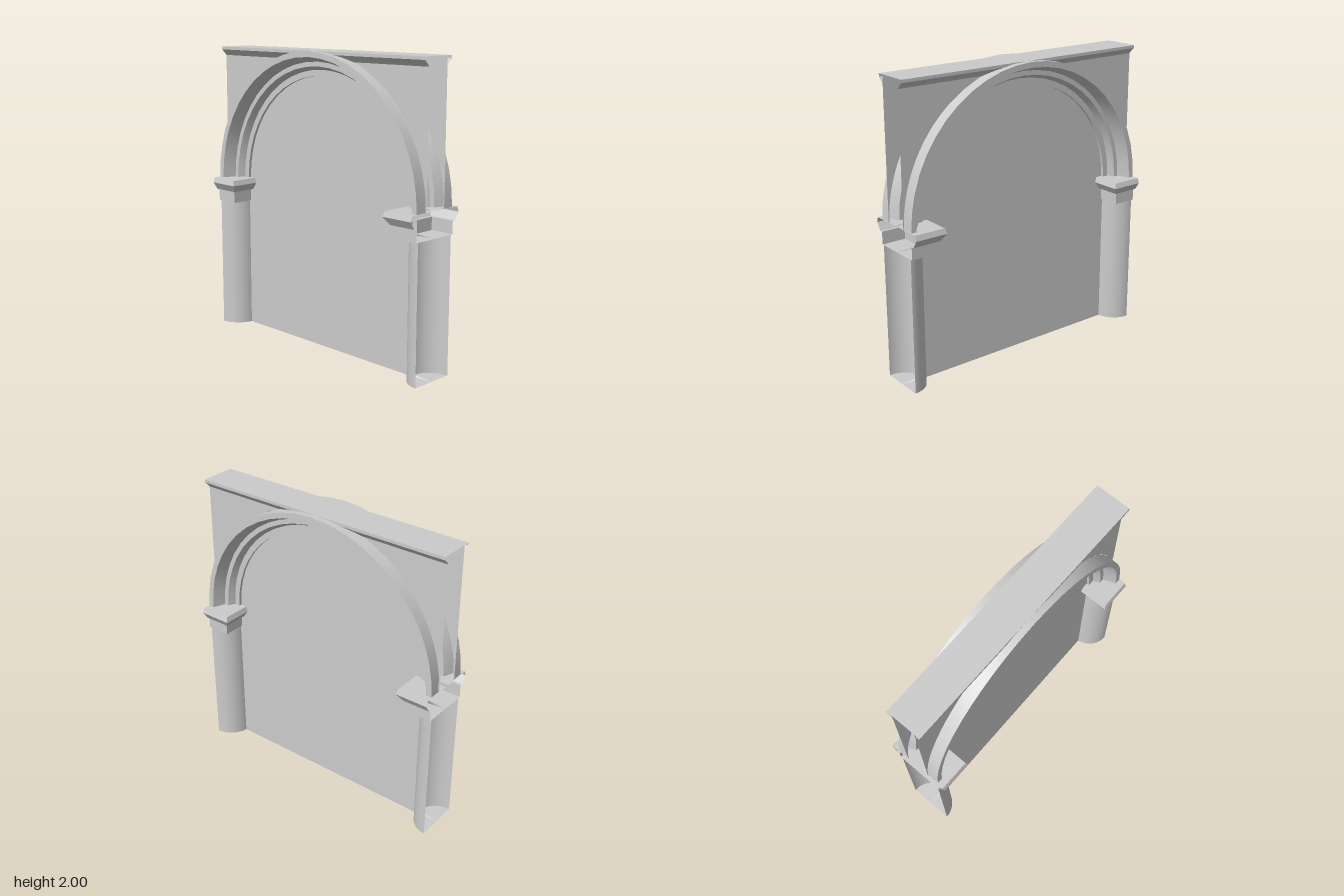
import * as THREE from 'three';
import { toCreasedNormals } from 'three/addons/utils/BufferGeometryUtils.js';

const END = 0.925;      // half length along z
const SPRING = 1.08;    // height where the arch starts
const PANEL_X = 0.016;  // recessed panel plane
const WALL_X = 0.083;   // spandrel plane
const R_OUT = 0.92, R_IN = 0.757;

const material = new THREE.MeshStandardMaterial({ color: 0xcccccc, side: THREE.DoubleSide });

function part(name, geometry, parent) {
  const mesh = new THREE.Mesh(geometry, material);
  mesh.name = name;
  parent.add(mesh);
  return mesh;
}

// Flat-faced skin between open sections, each a list of [x, y, z]
function loft(sections) {
  const positions = [];
  for (let i = 0; i < sections.length - 1; i++) {
    const a = sections[i], b = sections[i + 1];
    for (let j = 0; j < a.length - 1; j++) {
      positions.push(...a[j], ...b[j], ...b[j + 1], ...a[j], ...b[j + 1], ...a[j + 1]);
    }
  }
  const geometry = new THREE.BufferGeometry();
  geometry.setAttribute('position', new THREE.Float32BufferAttribute(positions, 3));
  geometry.computeVertexNormals();
  return geometry;
}

// Flat sheet facing +x at a given depth
function sheet(shape, x) {
  return new THREE.ShapeGeometry(shape, 24).rotateY(Math.PI / 2).translate(x, 0, 0);
}

// Stepped arch moulding: profile of (radius, x) swept through a half turn
function archGeometry() {
  const profile = [
    [R_IN, PANEL_X], [R_IN, 0.035], [0.797, 0.035], [0.82, 0.08],
    [0.851, 0.08], [0.883, 0.165], [R_OUT, 0.165], [R_OUT, WALL_X],
  ].map(([r, x]) => new THREE.Vector2(r, x));
  const geometry = new THREE.LatheGeometry(profile, 24, Math.PI, Math.PI);
  geometry.rotateZ(-Math.PI / 2).translate(0, SPRING, 0);
  return toCreasedNormals(geometry, 0.5);
}

// Recessed panel: rectangle with a round head
function panelShape() {
  const s = new THREE.Shape();
  s.moveTo(-0.772, 0);
  s.lineTo(0.772, 0);
  s.lineTo(0.772, SPRING);
  s.lineTo(R_IN, SPRING);
  s.absarc(0, SPRING, R_IN, 0, Math.PI, false);
  s.lineTo(-0.772, SPRING);
  return s;
}

// Corner of wall left over outside the arch
function spandrelShape(side) {
  const s = new THREE.Shape();
  s.moveTo(side * END, SPRING);
  s.lineTo(side * END, 2);
  s.lineTo(0, 2);
  s.absarc(0, SPRING, R_OUT, Math.PI / 2, side > 0 ? 0 : Math.PI, side > 0);
  return s;
}

// Quarter column shaft, open at the cut end
function shaftGeometry() {
  const r = 0.154, start = Math.PI / 2;
  const sweep = Math.PI / 2 - Math.asin(PANEL_X / r);
  return new THREE.CylinderGeometry(r, r, 0.91, 12, 1, false, start, sweep)
    .translate(0, 0.455, END);
}

// Neck block and flared capital: levels of [y, outer x, inner z]
function capitalGeometry() {
  const levels = [
    [0.91, PANEL_X, END], [0.91, 0.17, 0.76], [0.995, 0.17, 0.76],
    [0.995, 0.19, 0.735], [1.045, 0.223, 0.7], [SPRING, 0.212, 0.712],
    [SPRING, PANEL_X, END],
  ];
  return loft(levels.map(([y, x, z]) => [[PANEL_X, y, z], [x, y, z], [x, y, END]]));
}

// Top slab and moulding, open at both ends
function corniceGeometry() {
  const profile = [[0, 2], [0.122, 2], [0.122, 1.98], [0.097, 1.957], [WALL_X, 1.94]];
  return loft([-END, END].map(z => profile.map(([x, y]) => [x, y, z])));
}

function wallFace() {
  const face = new THREE.Group();
  face.name = 'wallFace';
  part('panel', sheet(panelShape(), PANEL_X), face);
  part('arch', archGeometry(), face);
  part('cornice', corniceGeometry(), face);
  for (const side of [1, -1]) {
    part('spandrel', sheet(spandrelShape(side), WALL_X), face);
    const column = new THREE.Group();
    column.name = 'column';
    part('shaft', shaftGeometry(), column);
    part('capital', capitalGeometry(), column);
    column.scale.z = side;
    face.add(column);
  }
  return face;
}

export function createModel() {
  const model = new THREE.Group();
  model.name = 'archedWall';
  // The two faces are the same, turned back to back
  for (const angle of [0, Math.PI]) {
    const face = wallFace();
    face.rotation.y = angle;
    model.add(face);
  }
  return model;
}
